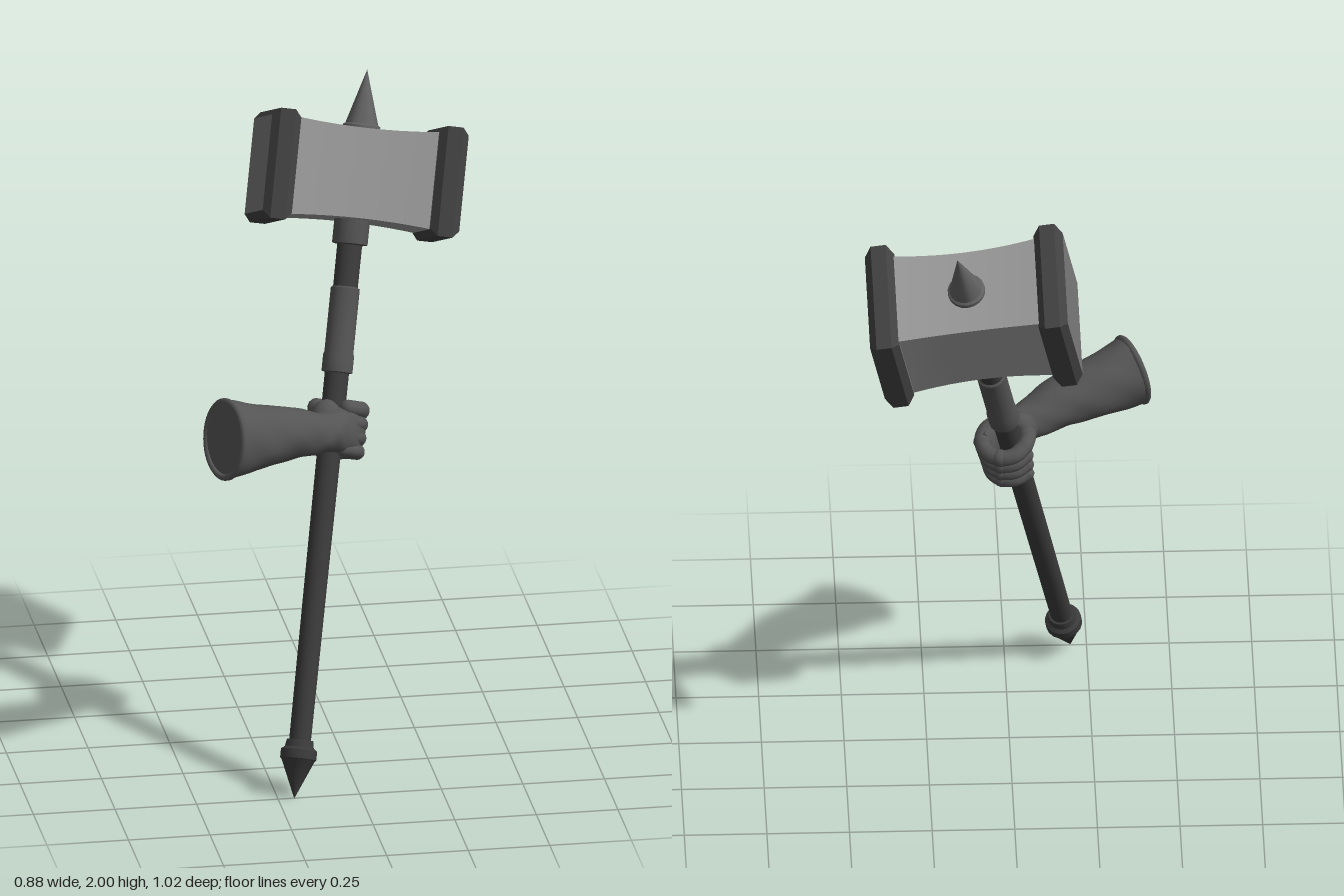
import * as THREE from 'three';
import { toCreasedNormals } from 'three/addons/utils/BufferGeometryUtils.js';

const paint = color => new THREE.MeshStandardMaterial({ color });
const PLATE = paint(0x989898);
const FACE = paint(0x747474);
const EDGE = paint(0x404040);
const SPIKE = paint(0x606060);
const SHAFT = paint(0x3a3a3a);
const GRIP = paint(0x505050);
const SKIN = paint(0x545454);
const V = (x, y, z) => new THREE.Vector3(x, y, z);

// Hammer frame: shaft runs from the pommel point to the spike point
const TIP = V(-0.2, 0.01, 0.5);
const UP = V(0.17, 2.0, -0.39).sub(TIP).normalize();
const FRONT = V(0.986, -0.156, 0.049).cross(UP).normalize();
const ACROSS = UP.clone().cross(FRONT).normalize();

function part(name, geometry, material, parent) {
  const mesh = new THREE.Mesh(geometry, material);
  mesh.name = name;
  parent.add(mesh);
  return mesh;
}

// Turned part around the shaft axis, from [radius, height] pairs
function turned(profile) {
  const g = new THREE.LatheGeometry(profile.map(([r, y]) => new THREE.Vector2(r, y)), 18);
  return toCreasedNormals(g, 0.5);
}

// Bevelled square block at one end of the head
function headBlock() {
  const b = 0.022, w = 0.37 / 2 - b, h = 0.335 / 2 - b, d = 0.09;
  const shape = new THREE.Shape([[-w, -h], [w, -h], [w, h], [-w, h]].map(([x, y]) => new THREE.Vector2(x, y)));
  const g = new THREE.ExtrudeGeometry(shape, { depth: d - 2 * b, bevelThickness: b, bevelSize: b, bevelSegments: 1 });
  return g.translate(0, 0, -d / 2 + b).rotateY(Math.PI / 2);
}

// Square body of the head, narrowing slightly to a waist
function headBody() {
  const g = new THREE.BoxGeometry(0.48, 0.274, 0.284, 10, 2, 2);
  const p = g.attributes.position;
  for (let i = 0; i < p.count; i++) {
    const k = 1 + 0.08 * (p.getX(i) / 0.22) ** 2;
    p.setY(i, p.getY(i) * k);
    p.setZ(i, p.getZ(i) * k);
  }
  g.computeVertexNormals();
  return g;
}

// Loft of elliptical rings: stations are [x, y, z, half height, half width]
function loft(stations, rows, cols) {
  const path = new THREE.CatmullRomCurve3(stations.map(s => V(s[0], s[1], s[2])));
  const size = new THREE.CatmullRomCurve3(stations.map(s => V(s[3], s[4], 0)));
  const pos = [], index = [];
  for (let i = 0; i <= rows; i++) {
    const t = i / rows;
    const c = path.getPoint(t), tan = path.getTangent(t), r = size.getPoint(t);
    const side = tan.clone().cross(UP).normalize();
    const up = side.clone().cross(tan);
    for (let j = 0; j < cols; j++) {
      const a = (j / cols) * Math.PI * 2;
      // shallow folds in the sleeve
      const fold = 1 + 0.025 * Math.sin(5 * a + 9 * t) * Math.sin(30 * t);
      const q = c.clone().addScaledVector(side, Math.cos(a) * r.y * fold)
        .addScaledVector(up, Math.sin(a) * r.x * fold);
      pos.push(q.x, q.y, q.z);
    }
  }
  for (let i = 0; i < rows; i++) {
    for (let j = 0; j < cols; j++) {
      const a = i * cols + j, b = i * cols + (j + 1) % cols;
      index.push(a, a + cols, b, b, a + cols, b + cols);
    }
  }
  // end caps
  for (const [row, flip] of [[0, false], [rows, true]]) {
    const c = path.getPoint(row / rows), m = pos.length / 3;
    pos.push(c.x, c.y, c.z);
    for (let j = 0; j < cols; j++) {
      const a = row * cols + j, b = row * cols + (j + 1) % cols;
      index.push(...(flip ? [m, b, a] : [m, a, b]));
    }
  }
  const g = new THREE.BufferGeometry();
  g.setAttribute('position', new THREE.Float32BufferAttribute(pos, 3));
  g.setIndex(index);
  g.computeVertexNormals();
  return toCreasedNormals(g, 0.9);
}

// Finger curled round the shaft between two angles (degrees), with round ends
function finger(name, from, to, y0, y1, radius, parent) {
  const group = new THREE.Group();
  group.name = name;
  const points = [];
  for (let i = 0; i <= 6; i++) {
    const t = i / 6, a = THREE.MathUtils.degToRad(from + (to - from) * t);
    points.push(V(0.015 + 0.069 * Math.cos(a), y0 + (y1 - y0) * t, 0.069 * Math.sin(a)));
  }
  part(name + 'Curl', new THREE.TubeGeometry(new THREE.CatmullRomCurve3(points), 24, radius, 10), SKIN, group);
  for (const p of [points[0], points[6]]) {
    part(name + 'End', new THREE.SphereGeometry(radius, 10, 8), SKIN, group).position.copy(p);
  }
  // knuckle swelling
  for (const i of [2, 4]) {
    part(name + 'Knuckle', new THREE.SphereGeometry(radius * 1.12, 10, 8), SKIN, group).position.copy(points[i]);
  }
  parent.add(group);
}

export function createModel() {
  const model = new THREE.Group();
  model.name = 'hammerInHand';

  const hammer = new THREE.Group();
  hammer.name = 'hammer';
  hammer.quaternion.setFromRotationMatrix(new THREE.Matrix4().makeBasis(ACROSS, UP, FRONT));
  hammer.position.copy(TIP);
  model.add(hammer);

  // shaft, pommel and collars
  part('pommel', turned([[0, -0.008], [0.05, 0.108], [0.055, 0.113], [0.055, 0.14], [0.044, 0.148], [0.04, 0.17], [0, 0.17]]), SHAFT, hammer);
  part('shaft', turned([[0.033, 0.16], [0.036, 1.0], [0.038, 1.75]]), SHAFT, hammer);
  part('grip', turned([[0.03, 1.285], [0.047, 1.29], [0.047, 1.34], [0.044, 1.35], [0.044, 1.545], [0.03, 1.555]]), GRIP, hammer);
  part('headCollar', turned([[0.03, 1.675], [0.054, 1.68], [0.054, 1.78]]), GRIP, hammer);

  // head
  const head = new THREE.Group();
  head.name = 'head';
  head.position.y = 1.89;
  hammer.add(head);
  part('headBody', headBody(), PLATE, head);
  for (const s of [-1, 1]) part(s < 0 ? 'rightBlock' : 'leftBlock', headBlock(), [FACE, EDGE], head).position.x = s * 0.258;
  part('spike', turned([[0.057, 0.12], [0.057, 0.15], [0.05, 0.155], [0, 0.321]]), SPIKE, head);

  // forearm running into the back of the hand
  part('forearm', loft([
    [-0.385, 1.115, 0.325, 0.122, 0.1],
    [-0.28, 1.095, 0.27, 0.1, 0.09],
    [-0.17, 1.08, 0.22, 0.08, 0.08],
    [-0.09, 1.055, 0.175, 0.066, 0.066],
    [-0.04, 1.045, 0.145, 0.06, 0.055],
    [0.0, 1.035, 0.118, 0.068, 0.044],
    [0.045, 1.025, 0.085, 0.078, 0.032],
    [0.07, 1.015, 0.04, 0.076, 0.026],
  ], 48, 24), SKIN, model);

  // rolled rim of the cuff
  const rimPoints = [];
  const axis = V(-0.89, 0.2, 0.42).normalize();
  const side = axis.clone().cross(UP).normalize(), rise = side.clone().cross(axis);
  for (let i = 0; i < 16; i++) {
    const a = (i / 16) * Math.PI * 2;
    rimPoints.push(V(-0.383, 1.115, 0.324).addScaledVector(side, 0.096 * Math.cos(a)).addScaledVector(rise, 0.116 * Math.sin(a)));
  }
  part('cuffRim', new THREE.TubeGeometry(new THREE.CatmullRomCurve3(rimPoints, true), 40, 0.01, 8, true), SKIN, model);

  // fingers, thumb and the heel of the palm
  const hand = new THREE.Group();
  hand.name = 'hand';
  hand.position.y = 1.122;
  hammer.add(hand);
  ['index', 'middle', 'ring', 'little'].forEach((n, i) => {
    const y = 0.06 - i * 0.042;
    finger(n + 'Finger', 75, -150 + i * 6, y, y, 0.025 - i * 0.001, hand);
  });
  finger('thumb', 100, 205, 0.035, 0.06, 0.025, hand);
  const heel = part('palmHeel', new THREE.SphereGeometry(1, 20, 14), SKIN, hand);
  heel.scale.set(0.05, 0.07, 0.045);
  heel.position.set(-0.03, 0.01, 0.062);
  return model;
}
